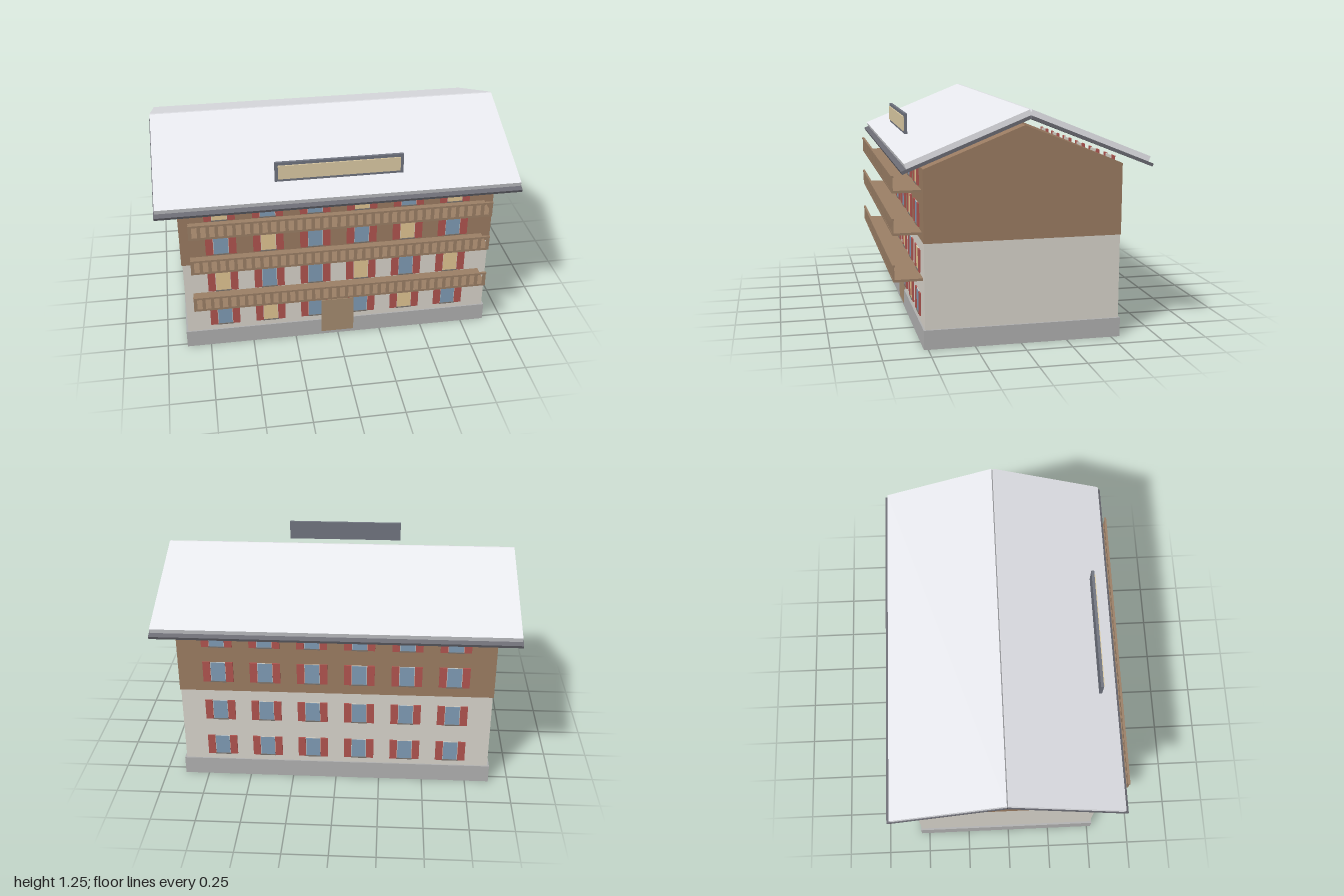
import * as THREE from 'three';

const MID = -0.013; // z of the ridge line and the centre of the walls
const mat = (color) => new THREE.MeshStandardMaterial({ color });
const mats = {
  plinth: mat(0xb0b0b0), plaster: mat(0xd8d4cb), wood: mat(0x9b7c62), snow: mat(0xe8e9ee),
  roof: mat(0x6a6a72), shutter: mat(0xb0544f), glass: mat(0x7f9bb5), lit: mat(0xe2c592),
  frame: mat(0xd6d2c8), sill: mat(0x77716b), rail: mat(0x9b7f66), door: mat(0xa68c70),
  signFrame: mat(0x70747f), sign: mat(0xdccba4),
};

// Box given by its size and centre
function box(parent, name, material, w, h, d, x, y, z) {
  const m = new THREE.Mesh(new THREE.BoxGeometry(w, h, d), mats[material]);
  m.name = name;
  m.position.set(x, y, z);
  parent.add(m);
  return m;
}

// One window with a frame, sill and a pair of shutters; z = 0 is the wall face
function makeWindow(lit) {
  const g = new THREE.Group();
  g.name = 'window';
  box(g, 'windowFrame', 'frame', 0.09, 0.12, 0.006, 0, 0, 0);
  box(g, 'windowPane', lit ? 'lit' : 'glass', 0.08, 0.116, 0.006, 0, 0, 0.002);
  box(g, 'windowSill', 'sill', 0.09, 0.006, 0.012, 0, -0.061, 0.003);
  for (const s of [-1, 1]) box(g, 'shutter', 'shutter', 0.042, 0.124, 0.008, s * 0.064, 0, 0.004);
  return g;
}

// Four rows of six windows; litColumns lists the glowing windows in each row
function makeFacade(name, litColumns) {
  const g = new THREE.Group();
  g.name = name;
  [0.203, 0.44, 0.688, 0.907].forEach((y, row) => {
    for (let c = 0; c < 6; c++) {
      const w = makeWindow(litColumns[row].includes(c));
      w.position.set((c - 2.5) * 0.263, y, row < 2 ? 0.528 : 0.531);
      g.add(w);
    }
  });
  return g;
}

// Balcony slab with an open front railing; y is the underside of the slab
function makeBalcony(y) {
  const g = new THREE.Group();
  g.name = 'balcony';
  box(g, 'balconyFloor', 'rail', 1.66, 0.013, 0.156, 0, 0.0065, 0.592);
  box(g, 'handrail', 'rail', 1.66, 0.011, 0.013, 0, 0.0845, 0.667);
  const count = 36;
  for (let i = 0; i < count; i++) {
    box(g, 'baluster', 'rail', 0.018, 0.068, 0.006, -0.82 + (1.64 * i) / (count - 1), 0.046, 0.667);
  }
  g.position.y = y;
  return g;
}

// One roof side: dark deck with a pale covering, sloping down from the ridge
function makeRoofSide(name) {
  const side = new THREE.Group();
  side.name = name;
  const slope = new THREE.Group();
  box(slope, 'roofDeck', 'roof', 2, 0.017, 0.7, 0, 0.0085, 0.35);
  box(slope, 'roofCovering', 'snow', 1.99, 0.029, 0.683, 0, 0.0315, 0.3295);
  slope.rotation.x = Math.atan(0.401);
  slope.position.y = 1.205;
  side.add(slope);
  side.position.z = MID;
  return side;
}

export function createModel() {
  const model = new THREE.Group();
  model.name = 'chaletBuilding';

  // Base and plastered lower storeys
  box(model, 'plinth', 'plinth', 1.774, 0.105, 1.072, 0, 0.0525, MID);
  box(model, 'plasterWalls', 'plaster', 1.752, 0.46, 1.056, 0, 0.335, MID);

  // Timber upper storeys with gables
  const gable = new THREE.Shape([
    new THREE.Vector2(-0.531, 0.565), new THREE.Vector2(0.531, 0.565),
    new THREE.Vector2(0.531, 0.95), new THREE.Vector2(0, 1.162), new THREE.Vector2(-0.531, 0.95),
  ]);
  const woodGeo = new THREE.ExtrudeGeometry(gable, { depth: 1.764, bevelEnabled: false });
  woodGeo.translate(0, 0, -0.882).rotateY(Math.PI / 2);
  const wood = new THREE.Mesh(woodGeo, mats.wood);
  wood.name = 'timberWalls';
  wood.position.z = MID;
  model.add(wood);

  // Windows on both long sides
  const front = makeFacade('frontWindows', [[1, 4], [0, 3, 5], [1, 4], [0, 3, 5]]);
  const back = makeFacade('backWindows', [[], [], [], []]);
  back.rotation.y = Math.PI;
  front.position.z = back.position.z = MID;
  model.add(front, back);

  // Entrance door
  box(model, 'door', 'door', 0.19, 0.225, 0.014, -0.003, 0.1325, 0.519);

  // Balconies
  for (const y of [0.357, 0.603, 0.824]) model.add(makeBalcony(y));

  // Roof
  const roofFront = makeRoofSide('frontRoof');
  const roofBack = makeRoofSide('backRoof');
  roofBack.rotation.y = Math.PI;
  model.add(roofFront, roofBack);

  // Blank sign board above the front roof slope
  box(model, 'signFrame', 'signFrame', 0.7, 0.113, 0.016, 0, 1.125, 0.531);
  box(model, 'signPanel', 'sign', 0.665, 0.08, 0.01, 0, 1.125, 0.541);

  return model;
}
